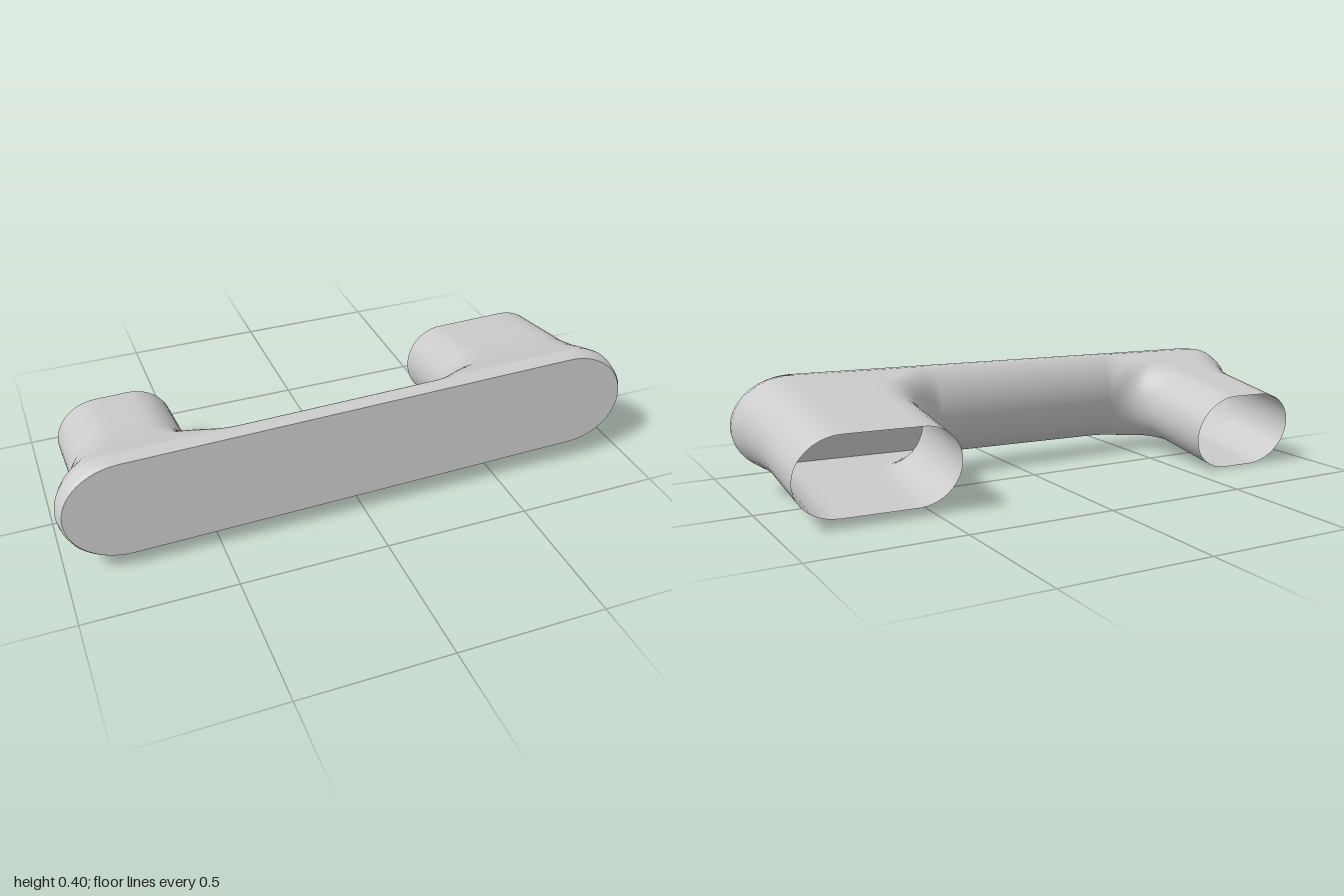
import * as THREE from 'three';
import { mergeVertices } from 'three/addons/utils/BufferGeometryUtils.js';

const END = -0.542;   // open ends of the legs
const BEND = -0.27;   // where the legs start to curve into the bar
const BACK = -0.144;  // back of the bar
const { lerp, clamp } = THREE.MathUtils;

// Profiles against depth z, from the face backwards
const DEPTH = [0, -0.01, -0.05, -0.1, -0.15, -0.25, END];
const TOP = [0.158, 0.165, 0.174, 0.167, 0.16, 0.152, 0.153];
const BOTTOM = [-0.157, -0.16, -0.156, -0.147, -0.139, -0.126, -0.118];
const SIDES = {
  left: { sign: 1, inner: 0.408, bend: 0.3, outer: [0.985, 0.993, 1, 0.99, 0.974, 0.957, 0.955] },
  right: { sign: -1, inner: 0.515, bend: 0.39, outer: [0.985, 0.993, 1, 0.985, 0.953, 0.917, 0.92] },
};

function sample(table, z) {
  for (let i = 1; i < DEPTH.length; i++) {
    if (z >= DEPTH[i] || i === DEPTH.length - 1) {
      return lerp(table[i - 1], table[i], clamp((z - DEPTH[i - 1]) / (DEPTH[i] - DEPTH[i - 1]), 0, 1));
    }
  }
}

// Quarter-ellipse rounding: 0 at the edge, 1 from the given radius inwards
function rounding(distance, radius) {
  const k = 1 - clamp(distance / radius, 0, 1);
  return Math.sqrt(Math.max(0, 1 - k * k));
}

// Pairs of outer and inner plan points [x, z] from a leg's open end to the bar
function sideStations({ sign, inner, bend, outer }) {
  const list = [];
  for (let i = 0; i < 8; i++) {
    const z = lerp(END, BEND, i / 8);
    list.push({ o: [sign * sample(outer, z), z], i: [sign * inner, z], r: 0.14 });
  }
  const curve = new THREE.QuadraticBezierCurve(
    new THREE.Vector2(inner, BEND), new THREE.Vector2(inner, BACK), new THREE.Vector2(bend, BACK));
  const n = 48;
  for (let k = 0; k <= n; k++) {
    const s = k / n;
    const p = curve.getPoint(s);
    const q = 2 * s - 1;
    const z = s < 0.5 ? lerp(BEND, 0, 2 * s) : 0;
    const x = s < 0.5 ? sample(outer, z) : lerp(outer[0], bend, q * q);
    list.push({ o: [sign * x, z], i: [sign * p.x, p.y], r: lerp(0.14, 0.11, s) });
  }
  return list;
}

// Upper and lower surface point at fraction t from the outer to the inner edge
function surfacePair(st, t) {
  const x = lerp(st.o[0], st.i[0], t);
  const z = lerp(st.o[1], st.i[1], t);
  const outer = (x > 0 ? SIDES.left : SIDES.right).outer;
  const edge = Math.max(0, sample(outer, z) - Math.abs(x));
  const gap = (1 - t) * Math.hypot(st.o[0] - st.i[0], st.o[1] - st.i[1]);
  const f = rounding(edge, lerp(0.2, 0.15, clamp(z / BEND, 0, 1))) * rounding(gap, st.r);
  const top = sample(TOP, z), bottom = sample(BOTTOM, z);
  const mid = (top + bottom) / 2, half = (top - bottom) / 2;
  return [[x, mid + half * f, z], [x, mid - half * f, z]];
}

// Skin a list of equally long rows of points
function loft(rows, flip) {
  const m = rows[0].length, index = [];
  for (let i = 0; i < rows.length - 1; i++) {
    for (let j = 0; j < m - 1; j++) {
      const a = i * m + j, b = a + m, c = a + 1, d = b + 1;
      if (flip) index.push(a, c, b, b, c, d);
      else index.push(a, b, c, b, d, c);
    }
  }
  const geo = new THREE.BufferGeometry();
  geo.setAttribute('position', new THREE.Float32BufferAttribute(rows.flat(2), 3));
  geo.setIndex(index);
  const merged = mergeVertices(geo, 1e-5);
  merged.computeVertexNormals();
  return merged;
}

export function createModel() {
  const material = new THREE.MeshStandardMaterial({ color: 0xcccccc, side: THREE.DoubleSide });
  const stations = [...sideStations(SIDES.left), ...sideStations(SIDES.right).reverse()];

  // Hollow handle: bar and two open legs in one smooth skin
  const steps = 28;
  const rows = stations.map((st) => {
    const upper = [], lower = [];
    for (let j = 0; j <= steps; j++) {
      const [a, b] = surfacePair(st, (1 - Math.cos((Math.PI * j) / steps)) / 2);
      upper.push(a);
      lower.unshift(b);
    }
    return [...upper, ...lower.slice(1)];
  });
  const shell = new THREE.Mesh(loft(rows, true), material);
  shell.name = 'handleShell';

  // Flat front plate with round ends
  const plateRows = stations.filter((st) => st.o[1] === 0).map((st) => surfacePair(st, 0));
  const plate = new THREE.Mesh(loft(plateRows, false), material);
  plate.name = 'frontPlate';

  // The handle leans back and is slightly rolled
  const handle = new THREE.Group();
  handle.name = 'handle';
  handle.add(shell, plate);
  handle.rotation.set(-0.165, 0, 0.0175);
  handle.position.set(0, 0.217, 0.268);

  const model = new THREE.Group();
  model.name = 'pullHandle';
  model.add(handle);
  return model;
}
